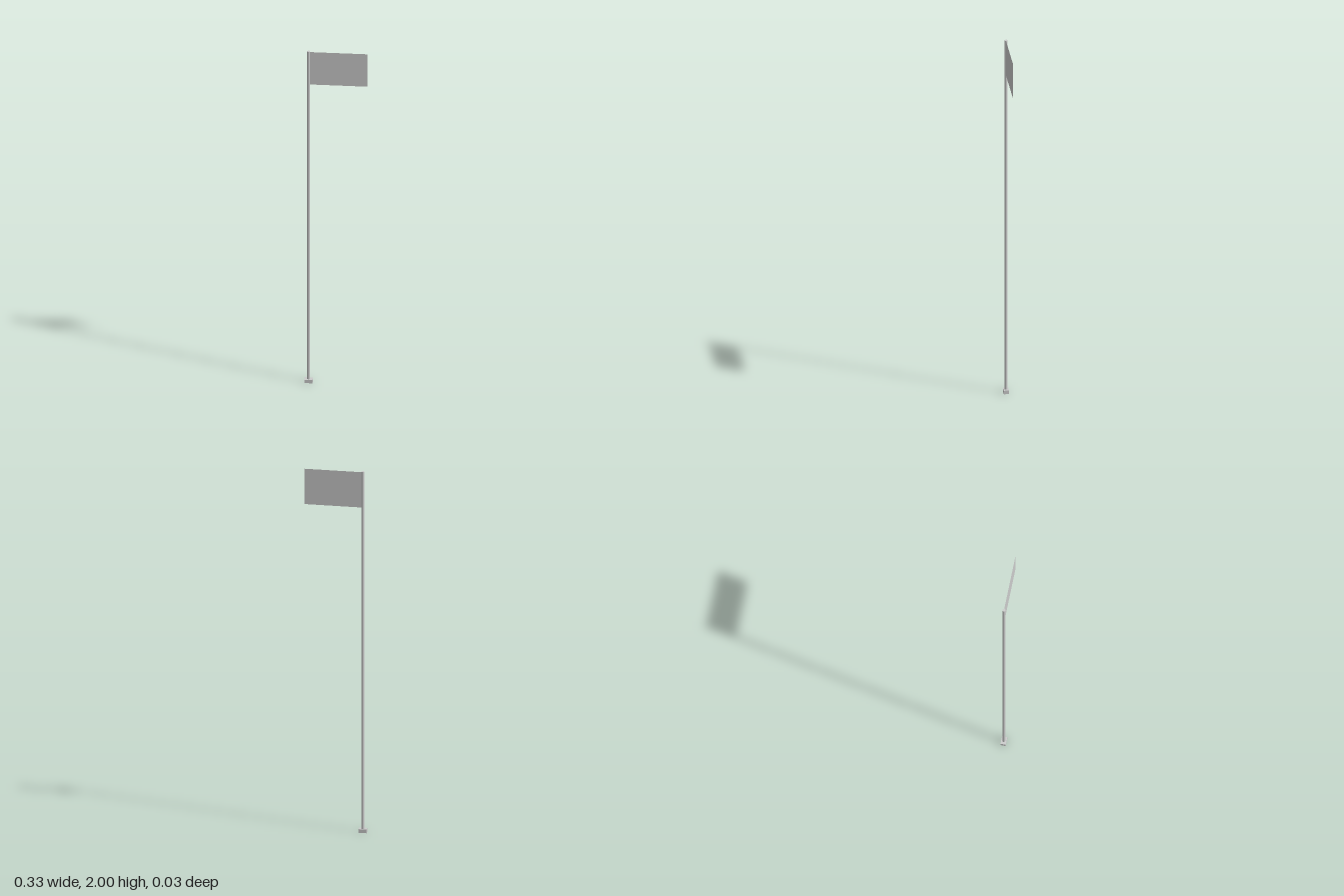
import * as THREE from 'three';

const POLE_X = -0.144;
const POLE_RADIUS = 0.008;
const BASE_HEIGHT = 0.02;
const HEIGHT = 2;

export function createModel() {
  const model = new THREE.Group();
  model.name = 'flagpole';

  const grey = new THREE.MeshStandardMaterial({ color: 0xcccccc });
  const cloth = new THREE.MeshStandardMaterial({ color: 0xcccccc, side: THREE.DoubleSide });

  const add = (name, geometry, material, x, y) => {
    const mesh = new THREE.Mesh(geometry, material);
    mesh.name = name;
    mesh.position.set(x, y, 0);
    model.add(mesh);
  };

  // Rectangular foot block
  add('base', new THREE.BoxGeometry(0.043, BASE_HEIGHT, 0.028), grey, POLE_X, BASE_HEIGHT / 2);

  // Slender round pole standing on the base
  const poleLength = HEIGHT - BASE_HEIGHT;
  add('pole', new THREE.CylinderGeometry(POLE_RADIUS, POLE_RADIUS, poleLength, 24),
    grey, POLE_X, BASE_HEIGHT + poleLength / 2);

  // Flat, thin flag attached to the side of the pole
  const left = POLE_X + POLE_RADIUS, right = 0.164;
  const bottom = 1.8, top = 1.996;
  add('flag', new THREE.PlaneGeometry(right - left, top - bottom),
    cloth, (left + right) / 2, (bottom + top) / 2);

  return model;
}
